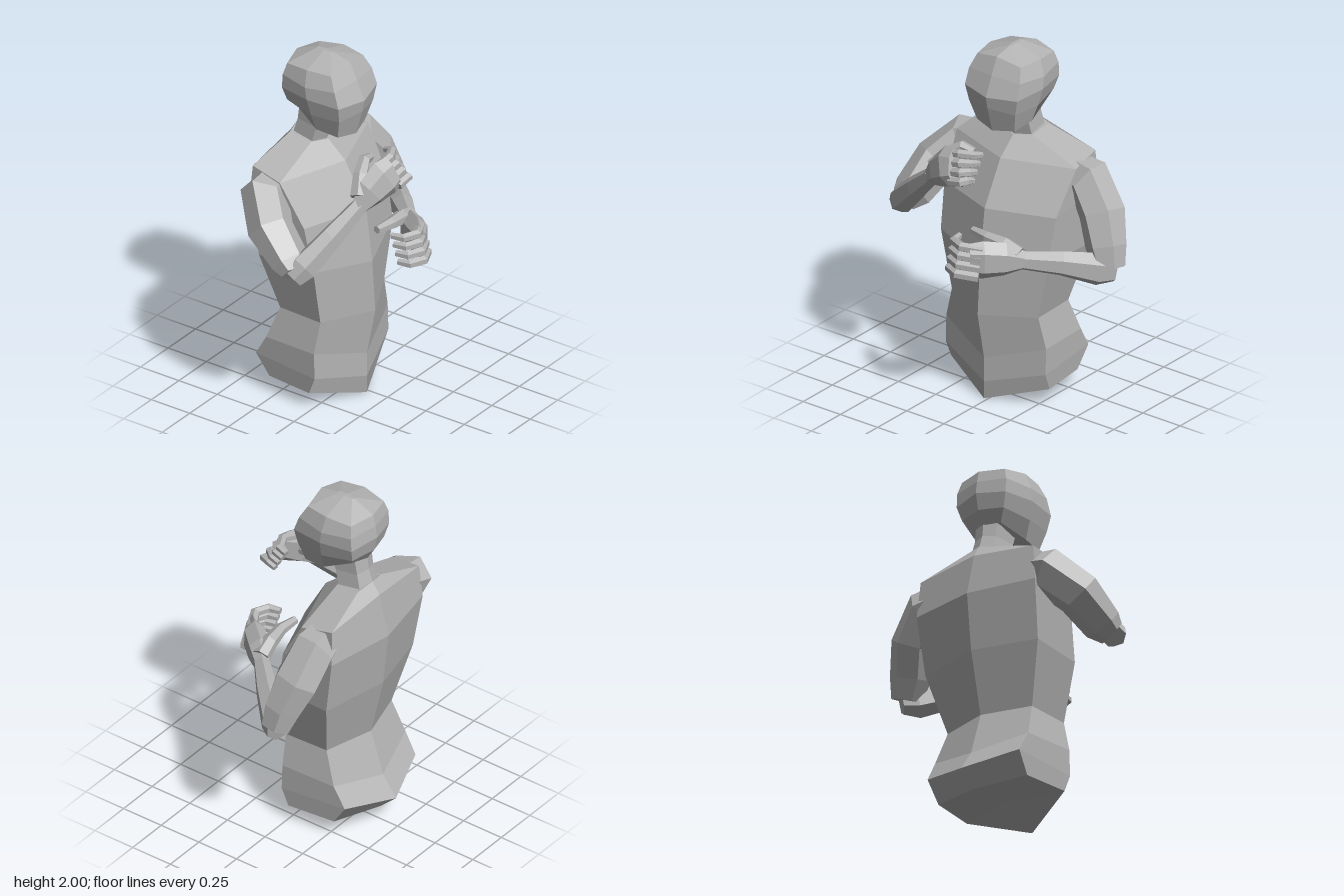
import * as THREE from 'three';

const V = (x, y, z) => new THREE.Vector3(x, y, z);

// Skin closed rings into a capped solid with one flat normal per face
function loft(rings) {
  const n = rings[0].length;
  const faces = [];
  for (let i = 0; i < rings.length - 1; i++) {
    for (let j = 0; j < n; j++) {
      const k = (j + 1) % n;
      faces.push([rings[i][j], rings[i][k], rings[i + 1][k], rings[i + 1][j]]);
    }
  }
  const cap = (ring, flip) => {
    const c = ring.reduce((s, p) => s.add(p), V(0, 0, 0)).divideScalar(n);
    ring.forEach((p, j) => {
      const q = ring[(j + 1) % n];
      faces.push(flip ? [c, q, p] : [c, p, q]);
    });
  };
  cap(rings[0], true);
  cap(rings[rings.length - 1], false);

  // Turn the faces outward
  const split = (f) => (f.length === 4 ? [[f[0], f[1], f[2]], [f[0], f[2], f[3]]] : [f]);
  const volume = faces.flatMap(split).reduce((s, [a, b, c]) => s + a.dot(b.clone().cross(c)), 0);
  const points = [];
  const normals = [];
  for (const face of faces) {
    const f = volume > 0 ? face : [...face].reverse();
    // Cross product of the diagonals (or of two edges on a triangle)
    const end = f[3] ?? f[0];
    const normal = f[2].clone().sub(f[0]).cross(end.clone().sub(f[1])).normalize();
    for (const t of split(f)) {
      points.push(...t);
      normals.push(...t.flatMap(() => normal.toArray()));
    }
  }
  const g = new THREE.BufferGeometry().setFromPoints(points);
  g.setAttribute('normal', new THREE.Float32BufferAttribute(normals, 3));
  return g;
}

// Limb along stations [x, y, z, half size along up, half size across]
function limb(stations, up = V(0, 1, 0), sides = 6) {
  const pts = stations.map((s) => V(s[0], s[1], s[2]));
  return loft(stations.map((s, i) => {
    const t = pts[Math.min(i + 1, pts.length - 1)].clone().sub(pts[Math.max(i - 1, 0)]).normalize();
    const v = up.clone().addScaledVector(t, -up.dot(t)).normalize();
    const u = t.clone().cross(v);
    return Array.from({ length: sides }, (_, j) => {
      const a = ((j + 0.5) / sides) * Math.PI * 2;
      return pts[i].clone()
        .addScaledVector(u, Math.cos(a) * (s[4] ?? s[3]))
        .addScaledVector(v, Math.sin(a) * s[3]);
    });
  }));
}

// Symmetric ring from half-section points, front centre to back centre
function mirrorRing(half) {
  const left = half.map((p) => V(...p));
  const right = half.slice(1, -1).reverse().map(([x, y, z]) => V(-x, y, z));
  return [...left, ...right];
}

export function createModel() {
  const model = new THREE.Group();
  model.name = 'mannequinBust';
  const grey = new THREE.MeshStandardMaterial({ color: 0xb3b3b3 });
  grey.name = 'matteGrey';
  const add = (name, geometry, parent) => {
    const m = new THREE.Mesh(geometry, grey);
    m.name = name;
    parent.add(m);
  };
  const group = (name) => {
    const g = new THREE.Group();
    g.name = name;
    model.add(g);
    return g;
  };

  // Torso: front centre, front corner, back corner, back centre
  const body = group('body');
  body.position.x = -0.02;
  add('torso', loft([
    [[0, 0, 0.13], [0.33, 0.1, -0.01], [0.3, 0.1, -0.29], [0, 0.07, -0.38]],
    [[0, 0.1, 0.13], [0.335, 0.2, 0.03], [0.31, 0.22, -0.37], [0, 0.16, -0.475]],
    [[0, 0.24, 0.13], [0.335, 0.35, 0.025], [0.315, 0.34, -0.3], [0, 0.28, -0.39]],
    [[0, 0.515, 0.185], [0.29, 0.525, 0.035], [0.285, 0.53, -0.23], [0, 0.53, -0.31]],
    [[0, 0.81, 0.165], [0.36, 0.86, 0.04], [0.38, 0.87, -0.3], [0, 0.88, -0.39]],
    [[0, 1.12, 0.125], [0.375, 1.12, -0.01], [0.4, 1.2, -0.35], [0, 1.2, -0.425]],
    [[0, 1.365, -0.01], [0.4, 1.365, -0.15], [0.38, 1.4, -0.34], [0, 1.44, -0.365]],
    [[0, 1.46, -0.12], [0.1, 1.475, -0.16], [0.1, 1.49, -0.3], [0, 1.51, -0.32]],
  ].map(mirrorRing)), body);

  // Neck leaning forward
  add('neck', loft([
    [[0, 1.42, -0.14], [0.095, 1.44, -0.17], [0.08, 1.46, -0.3], [0, 1.47, -0.33]],
    [[0, 1.55, -0.11], [0.085, 1.56, -0.14], [0.07, 1.57, -0.27], [0, 1.58, -0.295]],
    [[0, 1.68, -0.07], [0.09, 1.69, -0.1], [0.075, 1.7, -0.25], [0, 1.7, -0.28]],
  ].map(mirrorRing)), body);

  // Head: front centre, cheek, temple, rear corner, back centre, closing in a short crown ridge
  add('head', loft([
    [[0, 1.555, 0.06], [0.125, 1.575, 0.03], [0.14, 1.59, -0.1], [0.09, 1.65, -0.25], [0, 1.64, -0.28]],
    [[0, 1.7, 0.1], [0.155, 1.69, 0.06], [0.175, 1.69, -0.11], [0.14, 1.71, -0.29], [0, 1.72, -0.33]],
    [[0, 1.77, 0.115], [0.175, 1.78, 0.07], [0.2, 1.79, -0.12], [0.165, 1.79, -0.305], [0, 1.81, -0.35]],
    [[0, 1.88, 0.065], [0.17, 1.87, 0.04], [0.2, 1.86, -0.13], [0.165, 1.87, -0.3], [0, 1.88, -0.34]],
    [[0, 1.975, 0.02], [0.145, 1.945, 0], [0.17, 1.95, -0.14], [0.145, 1.935, -0.285], [0, 1.945, -0.325]],
    [[0, 1.998, -0.09], [0.008, 1.998, -0.1], [0.01, 1.999, -0.14], [0.008, 1.997, -0.19], [0, 1.997, -0.2]],
  ].map(mirrorRing)), body);

  // Raised right arm
  const rightArm = group('rightArm');
  add('rightUpperArm', limb([
    [-0.2, 1.33, -0.24, 0.07, 0.09], [-0.43, 1.265, -0.24, 0.13, 0.135],
    [-0.54, 1.15, -0.125, 0.125, 0.125], [-0.575, 1.02, 0.03, 0.09, 0.115], [-0.6, 0.98, 0.08, 0.065, 0.08],
  ], V(0, 0.77, 0.64)), rightArm);
  add('rightForearm', limb([
    [-0.625, 0.955, 0.085, 0.055, 0.055], [-0.57, 1.01, 0.115, 0.08, 0.075],
    [-0.42, 1.15, 0.19, 0.068, 0.062], [-0.26, 1.295, 0.26, 0.048, 0.045],
  ]), rightArm);
  add('rightPalm', limb([
    [-0.27, 1.285, 0.255, 0.048, 0.045], [-0.2, 1.355, 0.285, 0.09, 0.06],
    [-0.12, 1.415, 0.32, 0.11, 0.055], [-0.065, 1.435, 0.335, 0.095, 0.035],
  ], V(-0.5, 1, -0.45)), rightArm);
  add('rightThumb', limb([
    [-0.26, 1.34, 0.25, 0.05], [-0.19, 1.43, 0.21, 0.042], [-0.12, 1.48, 0.185, 0.033], [-0.05, 1.465, 0.175, 0.022],
  ], V(0, 0.3, 1)), rightArm);

  // Low left arm folded across the front
  const leftArm = group('leftArm');
  add('leftUpperArm', limb([
    [0.16, 1.33, -0.24, 0.07, 0.09], [0.39, 1.27, -0.245, 0.12, 0.135],
    [0.505, 1.12, -0.215, 0.13, 0.125], [0.565, 0.96, -0.17, 0.105, 0.115], [0.605, 0.85, -0.15, 0.085, 0.085],
  ], V(0, 0, 1)), leftArm);
  add('leftForearm', limb([
    [0.625, 0.835, -0.17, 0.065, 0.055], [0.57, 0.85, -0.11, 0.095, 0.07],
    [0.43, 0.9, 0.04, 0.07, 0.062], [0.28, 0.93, 0.19, 0.052, 0.045],
  ]), leftArm);
  add('leftPalm', limb([
    [0.29, 0.93, 0.18, 0.052, 0.045], [0.215, 0.94, 0.25, 0.095, 0.068],
    [0.14, 0.95, 0.345, 0.11, 0.062], [0.09, 0.95, 0.395, 0.1, 0.035],
  ]), leftArm);
  add('leftThumb', limb([
    [0.27, 0.96, 0.2, 0.05], [0.18, 1.0, 0.21, 0.044], [0.07, 1.015, 0.22, 0.034], [-0.035, 1.02, 0.205, 0.022],
  ]), leftArm);

  // Curled fingers on both hands, index to little finger
  for (let i = 0; i < 4; i++) {
    const ry = 1.495 - i * 0.041;
    const rx = -0.13 + i * 0.022;
    const rz = i * 0.024;
    add('rightFinger', limb([
      [rx, ry - 0.015, 0.29 + rz, 0.026, 0.03], [rx + 0.08, ry + 0.008, 0.3 + rz, 0.025, 0.028],
      [0.02, ry + 0.005, 0.265 + rz, 0.023, 0.026], [0.03, ry - 0.01, 0.215 + rz, 0.018],
    ]), rightArm);
    const ly = 1.025 - i * 0.048;
    const lz = i * 0.014;
    add('leftFinger', limb([
      [0.15, ly - 0.012, 0.355 + lz, 0.028, 0.03], [0.045, ly, 0.41 + lz, 0.027, 0.028],
      [-0.03, ly, 0.375 + lz, 0.025, 0.026], [-0.045, ly, 0.31 + lz, 0.019],
    ]), leftArm);
  }
  return model;
}
